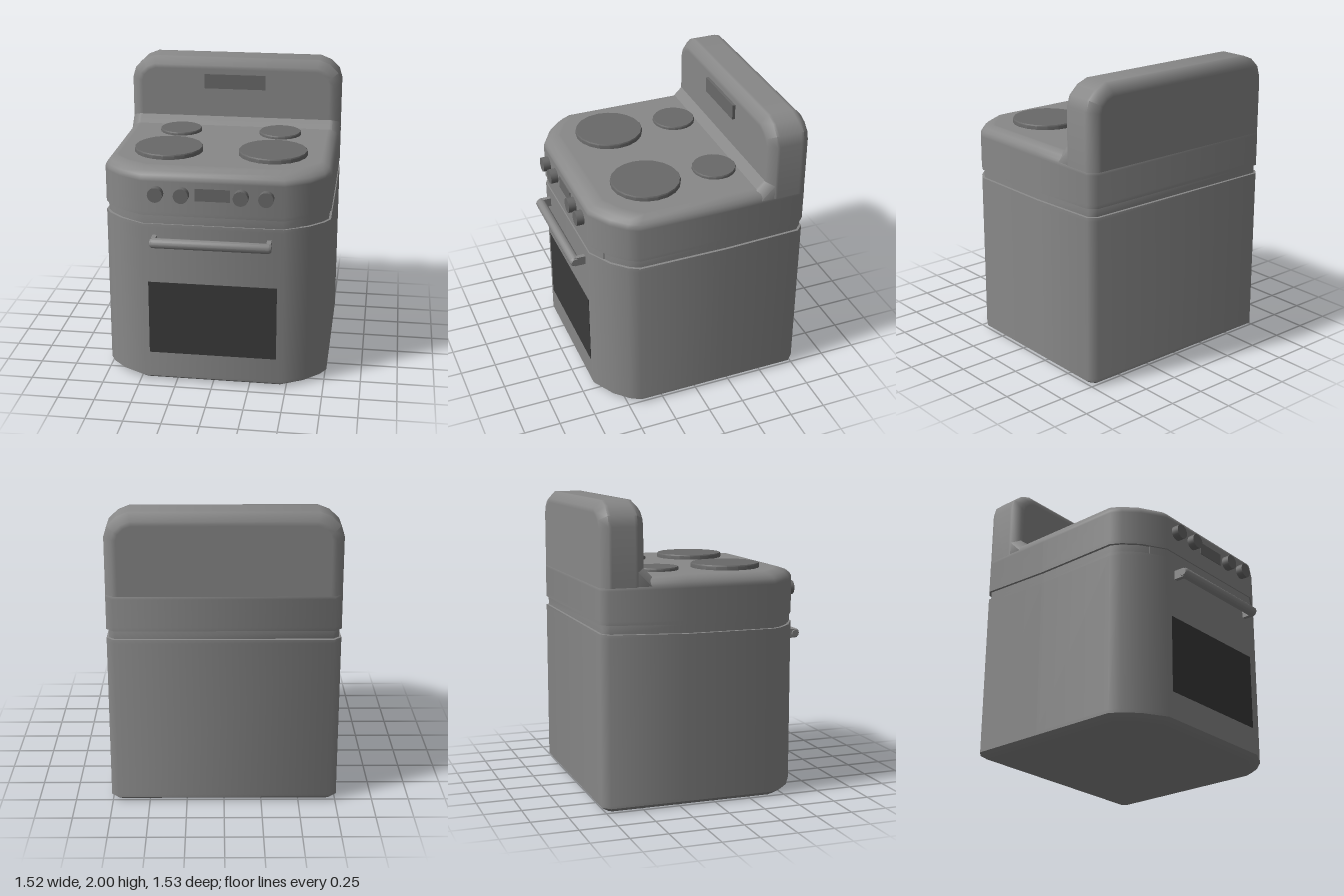
import * as THREE from 'three';
import { toCreasedNormals } from 'three/addons/utils/BufferGeometryUtils.js';

const paint = (color) => new THREE.MeshStandardMaterial({ color });

// Moves a counter-clockwise convex outline inwards by d with mitred corners.
function inset(outline, d) {
  const n = outline.length;
  return outline.map((p, i) => {
    const a = outline[(i + n - 1) % n], b = outline[(i + 1) % n];
    const u = new THREE.Vector2(p[0] - a[0], p[1] - a[1]).normalize();
    const v = new THREE.Vector2(b[0] - p[0], b[1] - p[1]).normalize();
    const k = d / (1 + u.dot(v));
    return [p[0] - (u.y + v.y) * k, p[1] + (u.x + v.x) * k];
  });
}

// Skins rings [inset, height, frontShift] along z and closes both ends with fans.
function loft(outline, levels) {
  const n = outline.length, pos = [], idx = [];
  levels.forEach(([d, h, shift = 0]) => inset(outline, d).forEach(([x, y]) =>
    pos.push(x, y < -0.35 ? y + shift : y, h)));
  for (let r = 0; r < levels.length - 1; r++) {
    for (let i = 0; i < n; i++) {
      const a = r * n + i, b = r * n + (i + 1) % n;
      idx.push(a, b, b + n, a, b + n, a + n);
    }
  }
  const top = (levels.length - 1) * n;
  for (let i = 1; i < n - 1; i++) {
    idx.push(0, i + 1, i, top, top + i, top + i + 1);
  }
  const g = new THREE.BufferGeometry();
  g.setAttribute('position', new THREE.Float32BufferAttribute(pos, 3));
  g.setIndex(idx);
  return g;
}

// Rewrites the height of every vertex by a rule.
function adjustY(geometry, rule) {
  const p = geometry.attributes.position;
  for (let i = 0; i < p.count; i++) p.setY(i, rule(p.getY(i), p.getZ(i)));
}

// Completes one half of an outline with its mirror image.
const mirror = (half) => [...half, ...half.slice().reverse().map(([x, y]) => [-x, y])];

export function createModel() {
  const group = new THREE.Group();
  const body = paint(0x888888), dark = paint(0x696969), glass = paint(0x3a3a3a);
  const add = (name, geometry, material, x = 0, y = 0, z = 0) => {
    const mesh = new THREE.Mesh(geometry, material);
    mesh.name = name;
    mesh.position.set(x, y, z);
    group.add(mesh);
    return mesh;
  };
  const box = (name, w, h, d, material, x, y, z) =>
    add(name, new THREE.BoxGeometry(w, h, d), material, x, y, z);

  // Cabinet: plan outline (x, -z) with a rounded front, bevelled ends and a groove
  const plan = mirror([[0.47, -0.66], [0.63, -0.57], [0.72, -0.48], [0.76, -0.41],
    [0.76, 0.2], [0.76, 0.72], [0.71, 0.77]]);
  const cabinet = loft(plan, [[0.07, 0], [0.045, 0], [0, 0.03], [0, 0.05], [0, 1.12], [0, 1.145],
    [0.015, 1.147], [0.015, 1.203], [0, 1.205], [0, 1.23], [0, 1.44], [0, 1.455],
    [0.008, 1.477, 0.006], [0.025, 1.5, 0.018], [0.06, 1.52, 0.04], [0.08, 1.52, 0.04]]);
  cabinet.rotateX(-Math.PI / 2);
  // The groove climbs slightly towards the back
  adjustY(cabinet, (y, z) => y > 1.1 && y < 1.25
    ? y + 0.02 * THREE.MathUtils.clamp((-0.2 - z) / 0.55, 0, 1) : y);
  add('cabinet', toCreasedNormals(cabinet, 0.9), body);

  // Door top edge, sitting in the groove
  const doorPlan = mirror([[0.463, -0.652], [0.57, -0.592], [0.57, -0.45]]);
  const doorTop = loft(doorPlan, [[0, 1.14], [0, 1.21]]).rotateX(-Math.PI / 2);
  add('doorTop', toCreasedNormals(doorTop, 0.6), body);

  // Backsplash with clipped upper corners, bevelled front and back, flat foot
  const panel = mirror([[0.759, 1.3], [0.759, 1.84], [0.738, 1.91], [0.675, 1.97], [0.6, 2]]);
  const backsplash = loft(panel, [[0.08, -0.769], [0.05, -0.769], [0, -0.72], [0, -0.7],
    [0, -0.55], [0, -0.53], [0.05, -0.48], [0.08, -0.48]]);
  adjustY(backsplash, (y) => (y < 1.4 ? 1.3 : y));
  add('backsplash', toCreasedNormals(backsplash, 0.9), body);

  // Sloped fillet between cooktop and backsplash, bevelled at both ends
  const slope = [[-0.65, 1.38], [-0.285, 1.38], [-0.55, 1.645], [-0.65, 1.645]];
  const fillet = loft(slope, [[0.05, -0.758], [0, -0.708], [0, -0.69],
    [0, 0.69], [0, 0.708], [0.05, 0.758]]);
  add('backsplashFillet', toCreasedNormals(fillet.rotateY(-Math.PI / 2), 0.9), body);

  // Burner plates
  const plate = (r, h) => toCreasedNormals(new THREE.LatheGeometry(
    [[r, -0.02], [r, h - 0.008], [r - 0.005, h], [0, h]].map(([x, y]) => new THREE.Vector2(x, y)),
    20), 0.6);
  for (const x of [-0.36, 0.35]) {
    add('frontBurner', plate(0.233, 0.032), dark, x, 1.52, 0.215);
    add('rearBurner', plate(0.148, 0.022), dark, x, 1.52, -0.275);
  }

  // Control knobs and displays
  for (const x of [-0.37, -0.2, 0.19, 0.355]) {
    const knob = new THREE.CylinderGeometry(0.05, 0.05, 0.07, 20).rotateX(Math.PI / 2);
    add('knob', knob, dark, x, 1.36, 0.675);
  }
  box('controlDisplay', 0.23, 0.085, 0.03, dark, 0.002, 1.36, 0.65);
  box('backsplashDisplay', 0.44, 0.105, 0.04, dark, 0, 1.837, -0.48);

  // Oven window
  box('ovenWindow', 0.865, 0.52, 0.02, glass, -0.002, 0.47, 0.652);

  // Door handle: bar with tapered ends on two posts
  const bar = new THREE.LatheGeometry(
    [[0, -0.4], [0.024, -0.4], [0.034, -0.385], [0.034, 0.385], [0.024, 0.4], [0, 0.4]]
      .map(([x, y]) => new THREE.Vector2(x, y)), 12).rotateZ(Math.PI / 2);
  add('handleBar', toCreasedNormals(bar, 0.7), body, -0.003, 1.038, 0.731);
  for (const s of [-1, 1]) {
    box('handlePost', 0.03, 0.062, 0.09, body, s * 0.38 - 0.003, 1.038, 0.69);
  }
  return group;
}
